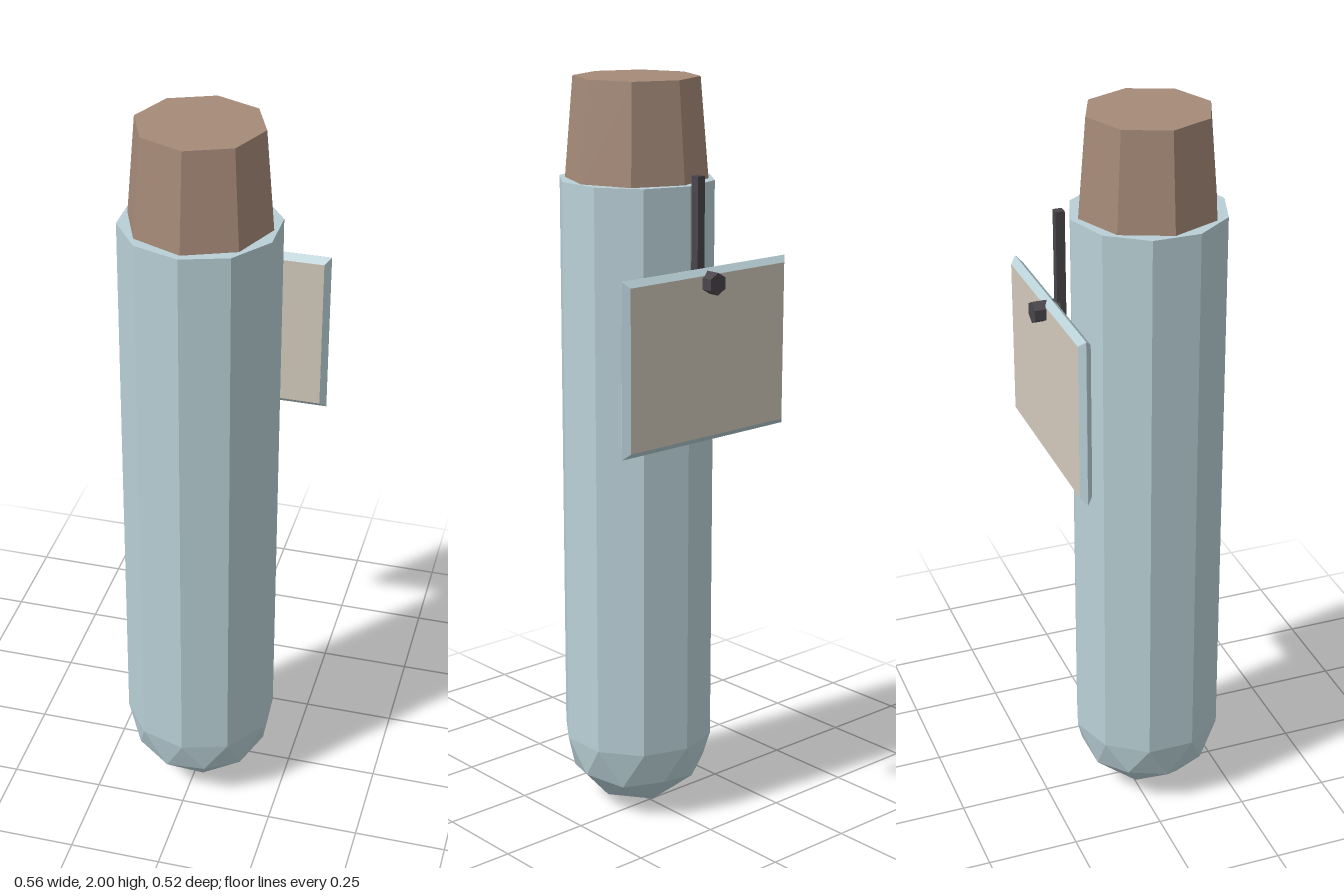
import * as THREE from 'three';

const mat = (name, color) => {
  const m = new THREE.MeshStandardMaterial({ color, flatShading: true });
  m.name = name;
  return m;
};

export function createModel() {
  const paleBlue = mat('paleBlue', 0xb9d0d6);
  const brown = mat('brown', 0xa58a78);
  const cream = mat('cream', 0xd3cabb);
  const charcoal = mat('charcoal', 0x4a464c);

  const model = new THREE.Group();
  const add = (name, geometry, material, x, y, z) => {
    const mesh = new THREE.Mesh(geometry, material);
    mesh.name = name;
    mesh.position.set(x, y, z);
    model.add(mesh);
    return mesh;
  };

  const axisZ = 0.052, radius = 0.206, shoulder = 1.74;

  // Ten-sided barrel, open below where the rounded end closes it
  const barrelHeight = shoulder - radius;
  add('barrel', new THREE.CylinderGeometry(radius, radius, barrelHeight, 10),
    paleBlue, 0, radius + barrelHeight / 2, axisZ);

  // Faceted round end, turned so its equator meets the barrel's corners
  const dome = new THREE.IcosahedronGeometry(radius, 1);
  dome.rotateX(-Math.atan((1 + Math.sqrt(5)) / 2));
  dome.rotateY(-Math.PI / 10);
  add('roundedEnd', dome, paleBlue, 0, radius, axisZ);

  // Tapered eight-sided stopper
  add('stopper', new THREE.CylinderGeometry(0.164, 0.186, 2 - shoulder, 8),
    brown, 0, (2 + shoulder) / 2, axisZ);

  // Hanging tag: cream faces with a bevelled blue rim
  const w = 0.263, h = 0.21, bevel = 0.016, depth = 0.001;
  const face = new THREE.Shape([
    new THREE.Vector2(-w, -h), new THREE.Vector2(w, -h),
    new THREE.Vector2(w, h), new THREE.Vector2(-w, h),
  ]);
  const tag = new THREE.ExtrudeGeometry(face, {
    depth, bevelEnabled: true, bevelThickness: bevel, bevelSize: bevel, bevelSegments: 1,
  });
  add('tag', tag, [cream, paleBlue], 0, 1.315, -0.2135);

  // Strap and six-sided peg holding the tag
  add('strap', new THREE.BoxGeometry(0.023, 0.29, 0.024), charcoal, 0, 1.625, -0.184);
  const peg = new THREE.CylinderGeometry(0.029, 0.029, 0.07, 6);
  peg.rotateX(Math.PI / 2);
  add('peg', peg, charcoal, 0, 1.506, -0.225);

  return model;
}
